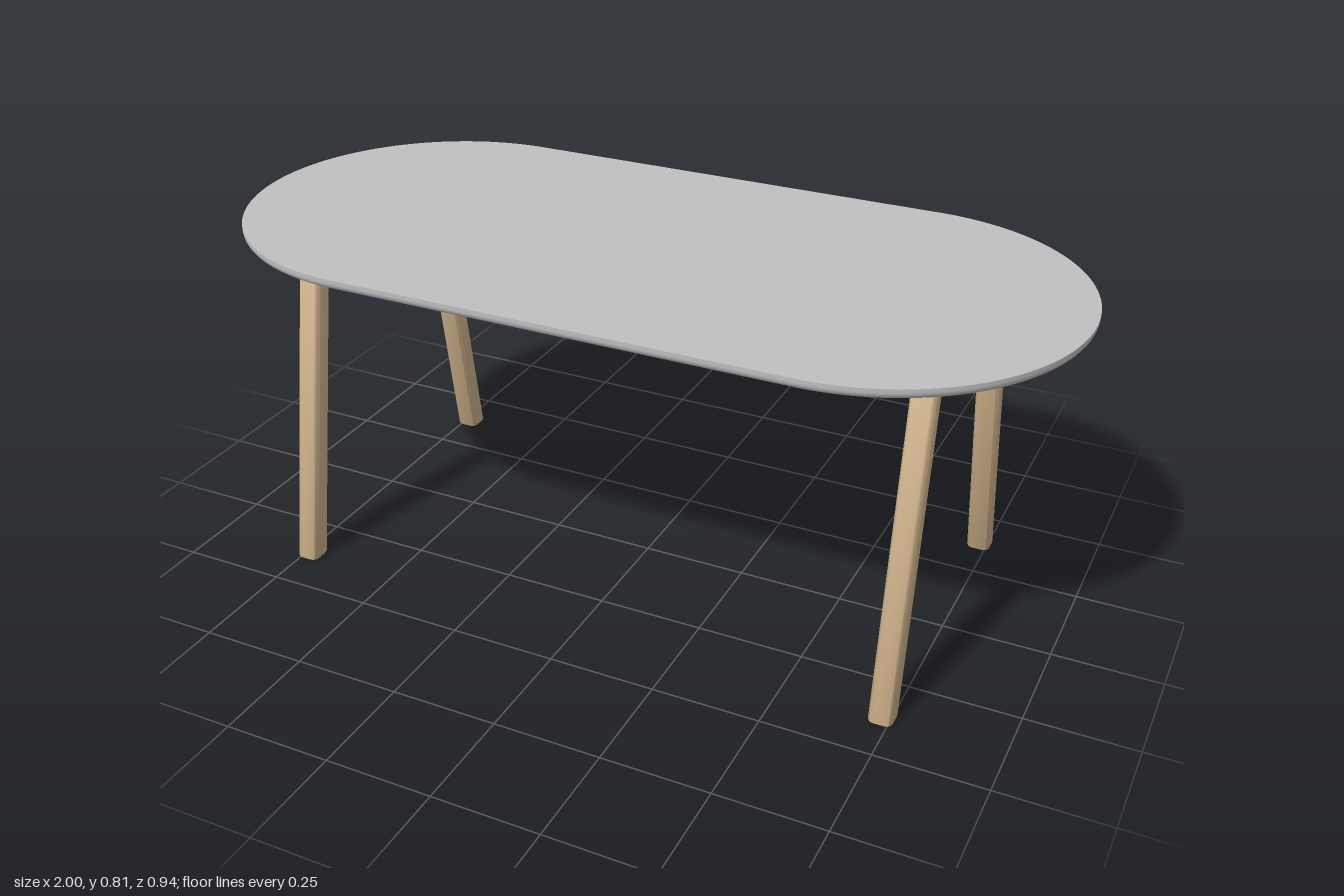
import * as THREE from 'three';
import { toCreasedNormals } from 'three/addons/utils/BufferGeometryUtils.js';

const grey = new THREE.MeshStandardMaterial({ color: 0xc0c0c0 });
grey.name = 'grey top';
const wood = new THREE.MeshStandardMaterial({ color: 0xd2b48c });
wood.name = 'light wood';

const TOP = 0.808, UNDER = 0.783, R = 0.472, SHIFT = 1 - R;
const LEG_X = 0.732, LEG_TOP_Z = 0.246, LEG_FOOT_Z = 0.376;

// Turned disc whose halves are pulled apart along x into a stadium
function stadium(profile) {
  const seg = 128;
  const points = profile.map(([r, y]) => new THREE.Vector2(r, y));
  const geo = new THREE.LatheGeometry(points, seg, Math.PI / seg);
  const p = geo.attributes.position;
  for (let i = 0; i < p.count; i++) p.setX(i, p.getX(i) + Math.sign(p.getX(i)) * SHIFT);
  return geo;
}

// Upright post with rounded edges and a slightly eased foot, sheared outward
function legGeometry() {
  const bevel = 0.004, a = 0.0275 - bevel, b = 0.029 - bevel, r = 0.012;
  const s = new THREE.Shape();
  s.moveTo(-a + r, -b);
  s.lineTo(a - r, -b);
  s.absarc(a - r, -b + r, r, -Math.PI / 2, 0);
  s.lineTo(a, b - r);
  s.absarc(a - r, b - r, r, 0, Math.PI / 2);
  s.lineTo(-a + r, b);
  s.absarc(-a + r, b - r, r, Math.PI / 2, Math.PI);
  s.lineTo(-a, -b + r);
  s.absarc(-a + r, -b + r, r, Math.PI, Math.PI * 1.5);
  const geo = new THREE.ExtrudeGeometry(s, {
    depth: UNDER - 2 * bevel, bevelEnabled: true, bevelThickness: bevel,
    bevelSize: bevel, bevelSegments: 2, curveSegments: 6,
  });
  geo.rotateX(-Math.PI / 2).translate(0, bevel, 0);
  const p = geo.attributes.position;
  for (let i = 0; i < p.count; i++) {
    p.setZ(i, p.getZ(i) + THREE.MathUtils.lerp(LEG_FOOT_Z, LEG_TOP_Z, p.getY(i) / UNDER));
  }
  return toCreasedNormals(geo, 0.6);
}

export function createModel() {
  const model = new THREE.Group();
  model.name = 'table';
  const add = (name, geo, mat, parent = model) => {
    const mesh = new THREE.Mesh(geo, mat);
    mesh.name = name;
    parent.add(mesh);
    return mesh;
  };

  // Tabletop: flat surface, plus a rim rounded into the underside
  const tabletop = new THREE.Group();
  tabletop.name = 'tabletop';
  model.add(tabletop);
  const fillet = 0.017, rim = [[0.0001, UNDER]];
  for (let i = 0; i <= 6; i++) {
    const t = (i / 6) * Math.PI / 2;
    rim.push([R - fillet + fillet * Math.sin(t), UNDER + fillet * (1 - Math.cos(t))]);
  }
  rim.push([R, TOP]);
  add('tabletopRim', stadium(rim), grey, tabletop);
  add('tabletopSurface', stadium([[R, TOP], [0.0001, TOP]]), grey, tabletop);

  // Four splayed legs
  const leg = legGeometry();
  for (const x of [-1, 1]) {
    for (const z of [-1, 1]) {
      const name = (z > 0 ? 'front' : 'back') + (x > 0 ? 'Left' : 'Right') + 'Leg';
      const mesh = add(name, leg, wood);
      mesh.position.x = x * LEG_X;
      if (z < 0) mesh.rotation.y = Math.PI;
    }
  }

  // Apron rails under the top
  const railY = 0.7465, railH = 0.075, railT = 0.03;
  for (const s of [-1, 1]) {
    add(s > 0 ? 'frontRail' : 'backRail', new THREE.BoxGeometry(1.44, railH, railT), wood)
      .position.set(0, railY, s * 0.228);
    add(s > 0 ? 'leftRail' : 'rightRail', new THREE.BoxGeometry(railT, railH, 0.47), wood)
      .position.set(s * LEG_X, railY, 0);
  }
  return model;
}
